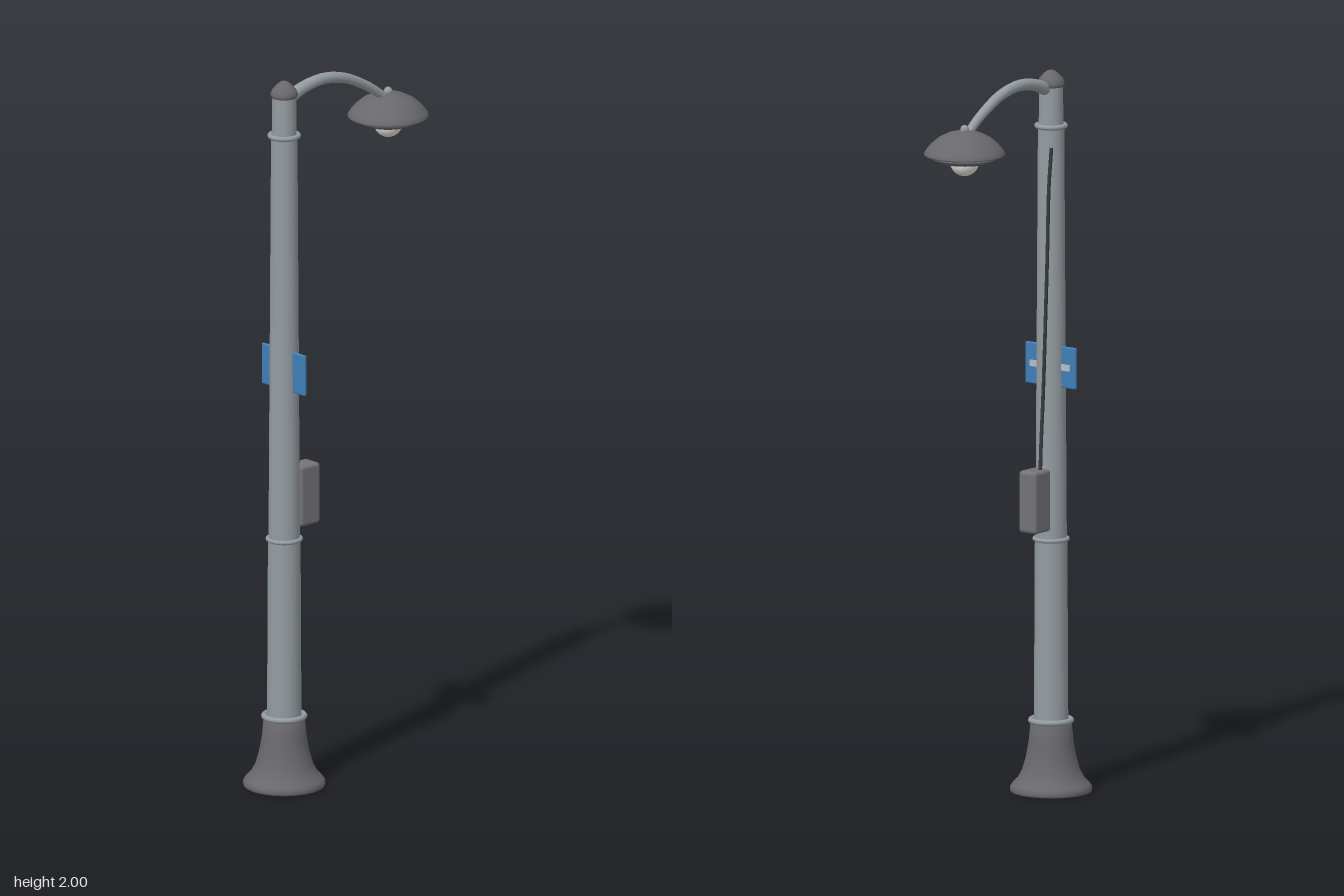
import * as THREE from 'three';
import { RoundedBoxGeometry } from 'three/addons/geometries/RoundedBoxGeometry.js';

const POLE_X = -0.192;
const LAMP_X = 0.192;

const material = (color, side = THREE.FrontSide) => new THREE.MeshStandardMaterial({ color, side });
const steel = material(0x949ca1);
const iron = material(0x69696d);
const ironThin = material(0x69696d, THREE.DoubleSide);
const boxGrey = material(0x737378);
const blue = material(0x3f7fb8);
const cableBlack = material(0x3a3a3d);
const pale = material(0xb9bdbf);
const glass = material(0xe9e7df);

const v = (x, y, z = 0) => new THREE.Vector3(x, y, z);

function part(parent, name, geometry, mat, x = 0, y = 0, z = 0) {
  const mesh = new THREE.Mesh(geometry, mat);
  mesh.name = name;
  mesh.position.set(x, y, z);
  parent.add(mesh);
  return mesh;
}

function lathe(points, segments = 32) {
  return new THREE.LatheGeometry(points.map(([r, y]) => new THREE.Vector2(r, y)), segments);
}

// Tube whose radius runs evenly from r0 to r1
function taperedTube(curve, r0, r1, segments = 32, sides = 14) {
  const geometry = new THREE.TubeGeometry(curve, segments, 1, sides, false);
  const pos = geometry.attributes.position;
  const p = v(0, 0);
  for (let i = 0; i <= segments; i++) {
    const centre = curve.getPointAt(i / segments);
    const r = THREE.MathUtils.lerp(r0, r1, i / segments);
    for (let j = 0; j <= sides; j++) {
      const k = i * (sides + 1) + j;
      p.fromBufferAttribute(pos, k).sub(centre).multiplyScalar(r).add(centre);
      pos.setXYZ(k, p.x, p.y, p.z);
    }
  }
  return geometry;
}

export function createModel() {
  const model = new THREE.Group();
  model.name = 'streetLamp';

  // Flared foot and two-stage pole
  const post = new THREE.Group();
  post.name = 'post';
  post.position.x = POLE_X;
  model.add(post);
  part(post, 'foot', lathe([
    [0, 0], [0.11, 0], [0.112, 0.004], [0.112, 0.013], [0.106, 0.022], [0.092, 0.036], [0.079, 0.06],
    [0.069, 0.095], [0.061, 0.14], [0.056, 0.195], [0.04, 0.197],
  ], 40), iron);
  part(post, 'lowerPole', new THREE.CylinderGeometry(0.0445, 0.047, 0.51, 32), steel, 0, 0.445);
  part(post, 'upperPole', new THREE.CylinderGeometry(0.036, 0.043, 1.145, 32), steel, 0, 1.2725);
  part(post, 'poleNeck', new THREE.CylinderGeometry(0.0325, 0.034, 0.12, 32), steel, 0, 1.9);

  // Collars
  for (const [name, y, r, tube] of [
    ['footCollar', 0.197, 0.055, 0.008],
    ['middleCollar', 0.7, 0.045, 0.006],
    ['topCollar', 1.845, 0.039, 0.007],
  ]) {
    part(post, name, new THREE.TorusGeometry(r, tube, 10, 36).rotateX(Math.PI / 2), steel, 0, y);
  }

  // Pointed cap
  part(post, 'cap', lathe([
    [0, 1.954], [0.034, 1.954], [0.037, 1.958], [0.037, 1.965], [0.033, 1.975],
    [0.022, 1.988], [0.011, 1.997], [0, 2],
  ]), iron);

  // Curved arm
  const armCurve = new THREE.CatmullRomCurve3([
    v(-0.185, 1.941), v(-0.13, 1.965), v(-0.05, 1.977), v(0.03, 1.963), v(0.1, 1.931),
    v(0.155, 1.896), v(0.182, 1.872),
  ]);
  part(model, 'arm', taperedTube(armCurve, 0.018, 0.012), steel);

  // Lamp head: domed shade, inner reflector and bulb
  const lamp = new THREE.Group();
  lamp.name = 'lampHead';
  lamp.position.x = LAMP_X;
  model.add(lamp);
  part(lamp, 'shade', lathe([
    [0.104, 1.823], [0.109, 1.822], [0.111, 1.826], [0.105, 1.836], [0.092, 1.852], [0.072, 1.869],
    [0.046, 1.882], [0.022, 1.888], [0, 1.89],
  ], 36), ironThin);
  part(lamp, 'reflector', lathe([
    [0.02, 1.835], [0.05, 1.832], [0.092, 1.818], [0.088, 1.812], [0.065, 1.802], [0.055, 1.803],
    [0.05, 1.815], [0, 1.825],
  ], 36), ironThin);
  part(lamp, 'bulb', new THREE.SphereGeometry(0.04, 28, 18), glass, 0, 1.804);
  part(lamp, 'finial', new THREE.SphereGeometry(0.012, 16, 12), steel, 0, 1.893);

  // Control box with its cable up the pole
  part(model, 'controlBox', new RoundedBoxGeometry(0.072, 0.172, 0.06, 3, 0.01), boxGrey, -0.12, 0.815);
  const cableCurve = new THREE.CatmullRomCurve3([
    v(-0.131, 0.89, -0.01), v(-0.134, 0.96, -0.01), v(-0.142, 1.12, -0.012), v(-0.147, 1.3, -0.015),
    v(-0.151, 1.5, -0.019), v(-0.155, 1.68, -0.021), v(-0.164, 1.79, -0.023),
  ]);
  part(model, 'cable', new THREE.TubeGeometry(cableCurve, 40, 0.005, 8, false), cableBlack);

  // Blue plates on both sides of the pole, each with a pale stripe
  for (const side of [1, -1]) {
    const sign = new THREE.Group();
    sign.name = side > 0 ? 'frontSign' : 'backSign';
    sign.position.set(POLE_X, 1.18, side * 0.061);
    post.parent.add(sign);
    part(sign, 'plate', new RoundedBoxGeometry(0.01, 0.115, 0.052, 2, 0.004), blue);
    part(sign, 'stripe', new THREE.BoxGeometry(0.003, 0.018, 0.032), pale, 0.005, 0, side * -0.008);
  }

  return model;
}
